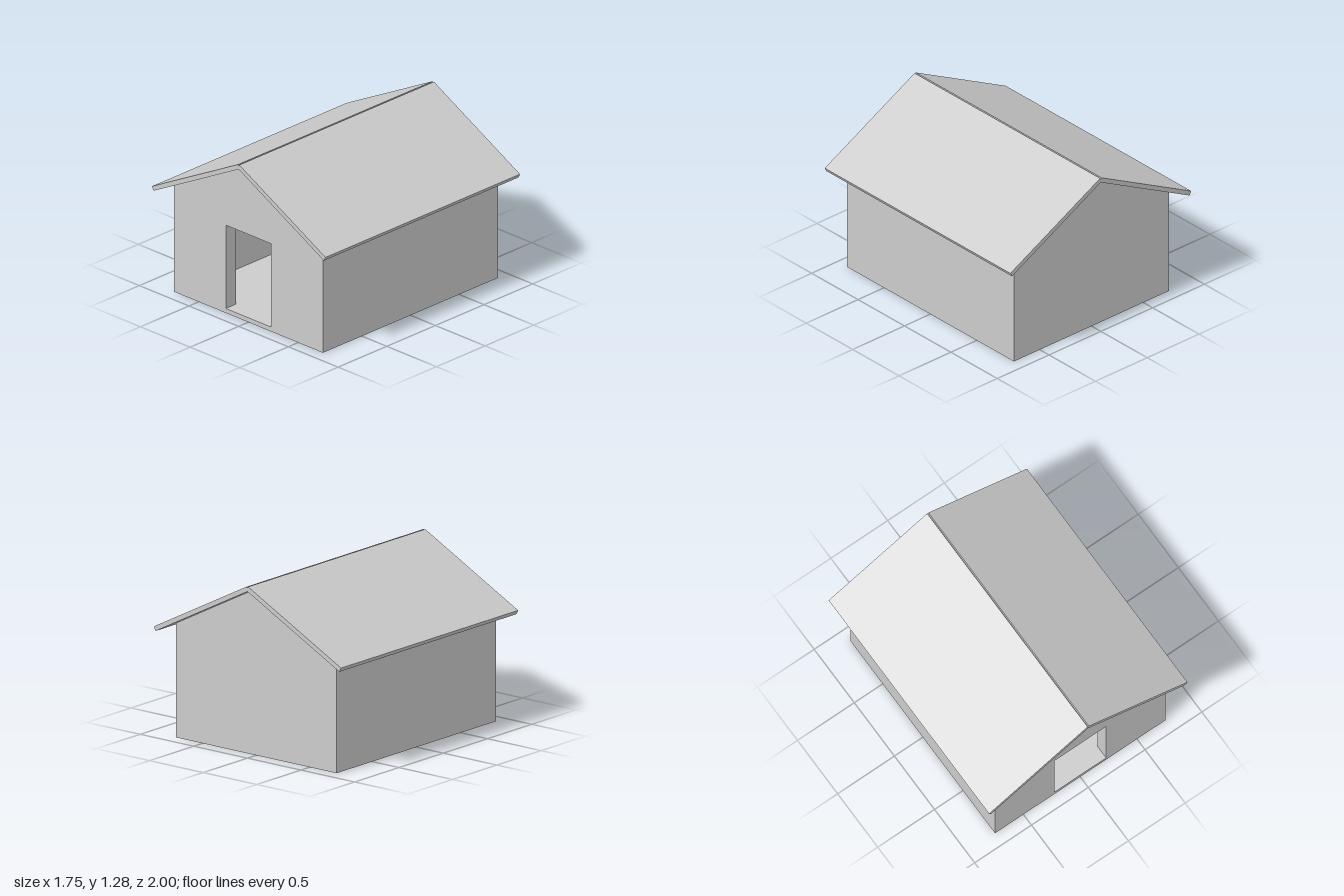
import * as THREE from 'three';

const material = new THREE.MeshStandardMaterial({ color: 0xcccccc, flatShading: true });
const halfW = 0.75, halfD = 0.9, wall = 0.107, floorH = 0.035;
const underRoof = (x) => 1.244 - 0.521 * Math.abs(x); // roof underside height

// Prism: an x/y outline (optionally with a hole) extruded between two z positions
function prism(name, points, z0, z1, hole) {
  const toVectors = (list) => list.map(([x, y]) => new THREE.Vector2(x, y));
  const shape = new THREE.Shape(toVectors(points));
  if (hole) shape.holes.push(new THREE.Path(toVectors(hole)));
  const geometry = new THREE.ExtrudeGeometry(shape, { depth: z1 - z0, bevelEnabled: false });
  geometry.translate(0, 0, z0);
  const mesh = new THREE.Mesh(geometry, material);
  mesh.name = name;
  return mesh;
}

// Upright panel from x0 to x1 whose top follows the roof
function panelOutline(x0, x1, y0 = 0) {
  const points = [[x0, y0], [x1, y0], [x1, underRoof(x1)]];
  if (x0 < 0 && x1 > 0) points.push([0, underRoof(0)]);
  points.push([x0, underRoof(x0)]);
  return points;
}

export function createModel() {
  const house = new THREE.Group();
  house.name = 'kennel';
  const innerW = halfW - wall, innerD = halfD - wall;

  // Gable walls, the front one with the doorway
  const gable = panelOutline(-halfW, halfW);
  const doorway = [[-0.228, floorH], [-0.228, 0.695], [0.228, 0.695], [0.228, floorH]];
  house.add(prism('frontWall', gable, innerD, halfD, doorway));
  house.add(prism('backWall', gable, -halfD, -innerD));

  // Floor
  const floorOutline = [[-innerW, 0], [innerW, 0], [innerW, floorH], [-innerW, floorH]];
  house.add(prism('floor', floorOutline, -innerD, innerD));

  // Inner partition with a gap on one side
  house.add(prism('partition', panelOutline(-0.54, innerW, floorH), -0.15 - wall, -0.15));

  // Side walls and sloping roof panels
  for (const side of [-1, 1]) {
    const label = side > 0 ? 'left' : 'right';
    const [x0, x1] = side > 0 ? [innerW, halfW] : [-halfW, -innerW];
    house.add(prism(label + 'Wall', panelOutline(x0, x1), -innerD, innerD));

    const slab = [[-0.01, 1.249], [0.857, 0.797], [0.873, 0.828], [0.006, 1.28]];
    const outline = slab.map(([x, y]) => [side * x, y]);
    house.add(prism(label + 'Roof', outline, -1, 1));
  }
  return house;
}
